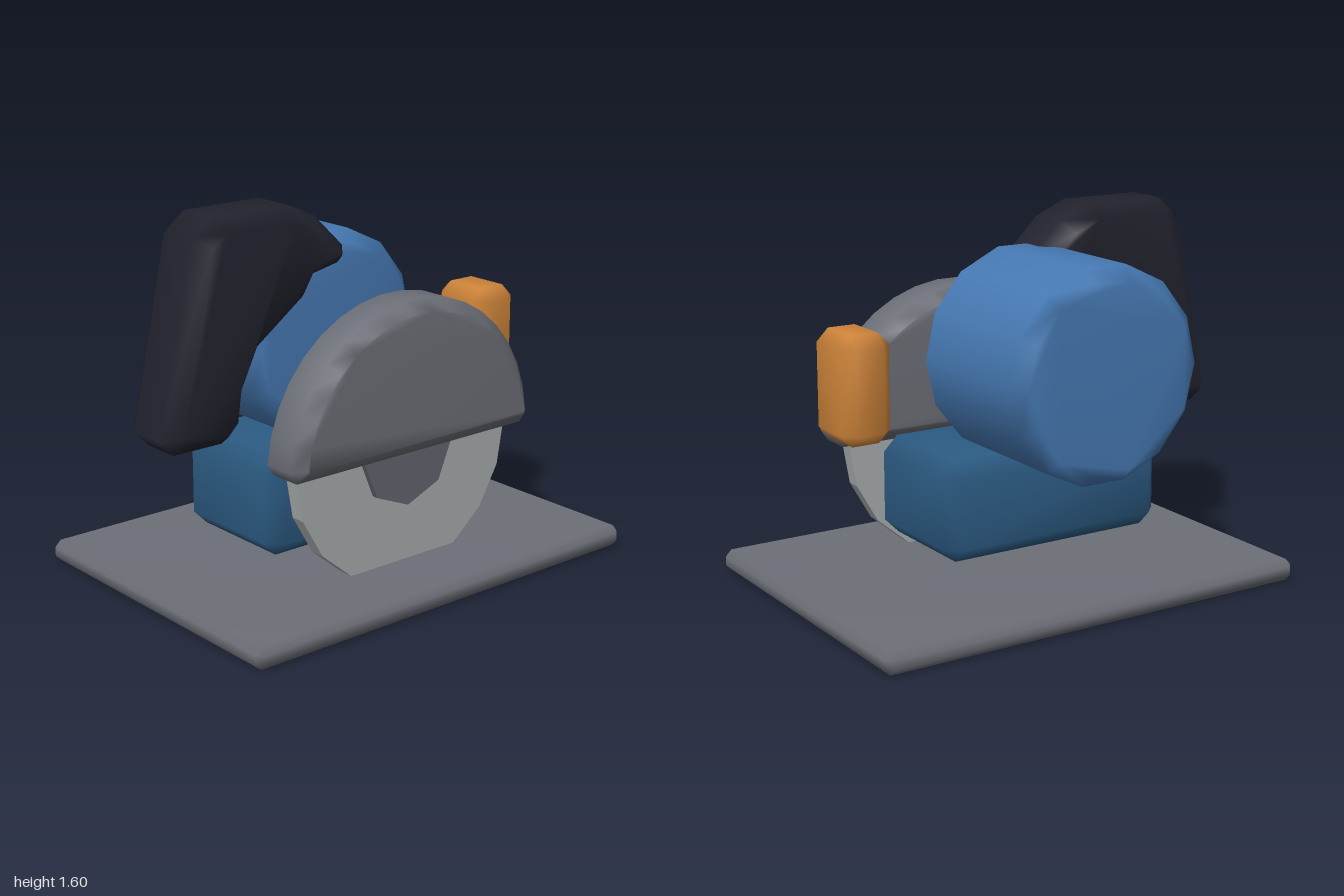
import * as THREE from 'three';
import { mergeVertices } from 'three/addons/utils/BufferGeometryUtils.js';
import { ConvexGeometry } from 'three/addons/geometries/ConvexGeometry.js';

const paint = (name, color) => {
  const m = new THREE.MeshStandardMaterial({ color });
  m.name = name;
  return m;
};

// Share vertices across edges so the chamfers shade softly
function smooth(geometry) {
  geometry.deleteAttribute('normal');
  geometry.deleteAttribute('uv');
  const g = mergeVertices(geometry, 1e-4);
  g.computeVertexNormals();
  return g;
}

// Box with all edges and corners cut at 45 degrees, given by its bounds
function chamferBox([x0, x1], [y0, y1], [z0, z1], c) {
  const h = [(x1 - x0) / 2, (y1 - y0) / 2, (z1 - z0) / 2];
  const points = [];
  for (const sx of [-1, 1]) for (const sy of [-1, 1]) for (const sz of [-1, 1]) {
    for (let full = 0; full < 3; full++) {
      const e = h.map((v, i) => (i === full ? v : v - c));
      points.push(new THREE.Vector3(sx * e[0], sy * e[1], sz * e[2]));
    }
  }
  const g = smooth(new ConvexGeometry(points));
  return g.translate((x0 + x1) / 2, (y0 + y1) / 2, (z0 + z1) / 2);
}

// Outline extruded from z0 to z1, its end faces inset to form chamfers
function prism(points, z0, z1, inset = 0, depth = inset) {
  const shape = new THREE.Shape(points.map(([x, y]) => new THREE.Vector2(x, y)));
  const g = new THREE.ExtrudeGeometry(shape, {
    depth: z1 - z0 - 2 * depth, bevelEnabled: inset > 0, bevelSegments: 1,
    bevelSize: inset, bevelOffset: -inset, bevelThickness: depth,
  });
  g.translate(0, 0, z0 + depth);
  return inset > 0 ? smooth(g) : g;
}

// Points along an arc, angles in degrees
function arc(cx, cy, r, from, to, steps) {
  return Array.from({ length: steps + 1 }, (_, i) => {
    const a = THREE.MathUtils.degToRad(from + ((to - from) * i) / steps);
    return [cx + r * Math.cos(a), cy + r * Math.sin(a)];
  });
}

export function createModel() {
  const steel = paint('steelGrey', 0x6c6f77);
  const bladeSteel = paint('bladeGrey', 0xa9adaf);
  const hubSteel = paint('hubGrey', 0x646670);
  const blue = paint('motorBlue', 0x4679b3);
  const darkBlue = paint('housingBlue', 0x2c5b83);
  const black = paint('gripBlack', 0x22222e);
  const orange = paint('knobOrange', 0xd0853a);

  const model = new THREE.Group();
  const add = (name, geometry, material) => {
    const mesh = new THREE.Mesh(geometry, material);
    mesh.name = name;
    model.add(mesh);
  };

  // Flat shoe and lower housing
  add('basePlate', chamferBox([-1, 1], [0, 0.095], [-0.73, 0.73], 0.028), steel);
  add('housing', chamferBox([-0.6, 0.465], [0.205, 0.635], [-0.3, 0.3], 0.065), darkBlue);

  // Fourteen-sided motor lying front to back
  add('motor', prism(arc(-0.068, 1, 0.452, 0, 360, 14).slice(0, -1), -0.665, 0.068, 0.055), blue);

  // Round blade, cut flat just above the plate, with its hub
  add('blade', prism(arc(0, 0.595, 0.57, -60, 240, 15), 0.35, 0.415), bladeSteel);
  add('bladeHub', prism(arc(0, 0.59, 0.24, 0, 360, 8).slice(0, -1), 0.41, 0.441), hubSteel);

  // Half-round guard over the blade
  const guard = [[-0.61, 0.59], [0.61, 0.59], ...arc(0, 0.59, 0.645, 4.5, 175.5, 17)];
  add('bladeGuard', prism(guard, 0.28, 0.52, 0.05), steel);

  // Hooked rear handle
  const handle = [
    [-0.985, 0.745], [-0.92, 0.675], [-0.685, 0.675], [-0.61, 0.75], [-0.59, 0.89],
    [-0.52, 1.035], [-0.29, 1.2], [-0.23, 1.295], [-0.085, 1.325], [-0.06, 1.395],
    [-0.21, 1.54], [-0.35, 1.6], [-0.72, 1.6], [-0.815, 1.525],
  ];
  add('rearHandle', prism(handle, -0.165, 0.168, 0.055, 0.08), black);

  // Front auxiliary knob
  add('frontKnob', chamferBox([0.535, 0.765], [0.67, 1.135], [0, 0.297], 0.053), orange);

  return model;
}
